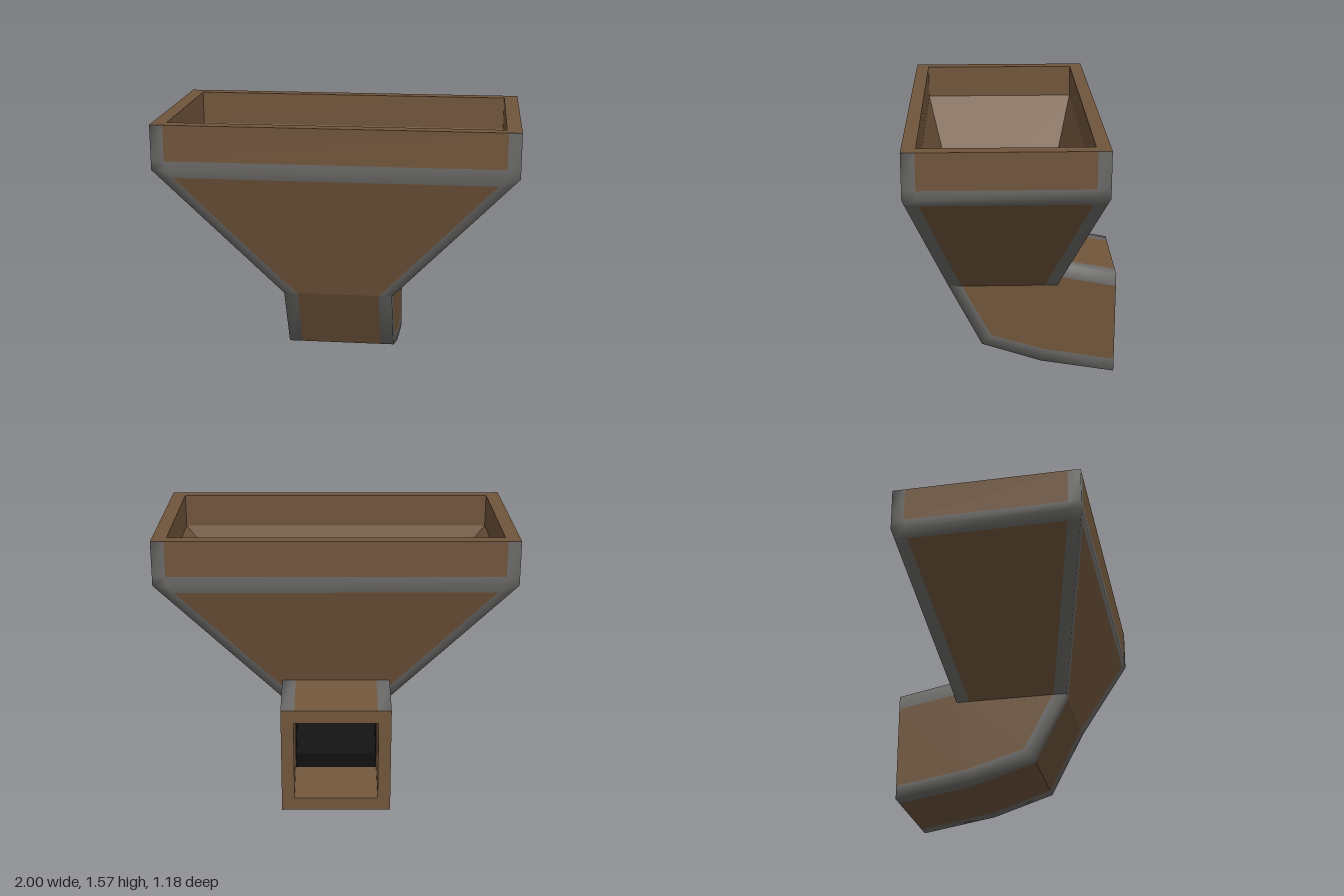
import * as THREE from 'three';

const wood = new THREE.MeshStandardMaterial({ color: 0x70553b });
wood.name = 'brown wood';
const metal = new THREE.MeshStandardMaterial({ color: 0x6b6a68 });
metal.name = 'grey metal trim';
const dark = new THREE.MeshStandardMaterial({ color: 0x0d0d0d, side: THREE.DoubleSide });
dark.name = 'black passage';

const V = (x, y, z) => new THREE.Vector3(x, y, z);

// horizontal rectangle used by the hopper
const level = (y, x, front, back) => [V(-x, y, front), V(x, y, front), V(x, y, back), V(-x, y, back)];

// rectangle spanned between a lower and an upper [z, y] point, used by the chute
const slice = (x, [bz, by], [tz, ty]) => [V(x, by, bz), V(-x, by, bz), V(-x, ty, tz), V(x, ty, tz)];

function makeMesh(name, points, index, material, smooth) {
  let geo = new THREE.BufferGeometry().setFromPoints(points);
  geo.setIndex(index);
  if (!smooth) geo = geo.toNonIndexed();
  geo.computeVertexNormals();
  const mesh = new THREE.Mesh(geo, material);
  mesh.name = name;
  return mesh;
}

// Skin over four-cornered rings with flat faces
function skin(name, rings, material) {
  const index = [];
  for (let r = 0; r + 1 < rings.length; r++) {
    for (let i = 0; i < 4; i++) {
      const j = (i + 1) % 4, a = r * 4 + i, b = r * 4 + j;
      index.push(a, b, b + 4, a, b + 4, a + 4);
    }
  }
  return makeMesh(name, rings.flat(), index, material, false);
}

// Skin whose corners, and chosen rows, are covered by smooth metal trim
function trimmedSkin(name, rings, width, trimRows = []) {
  const points = [], panels = [], trim = [];
  for (const ring of rings) {
    ring.forEach((p, i) => {
      const q = ring[(i + 1) % 4];
      const step = q.clone().sub(p).setLength(width);
      points.push(p.clone(), p.clone().add(step), q.clone().sub(step));
    });
  }
  for (let r = 0; r + 1 < rings.length; r++) {
    for (let i = 0; i < 12; i++) {
      const a = r * 12 + i, b = r * 12 + (i + 1) % 12;
      const target = i % 3 !== 1 || trimRows.includes(r) ? trim : panels;
      target.push(a, b, b + 12, a, b + 12, a + 12);
    }
  }
  const group = new THREE.Group();
  group.name = name;
  group.add(
    makeMesh(name + 'Panels', points, panels, wood, false),
    makeMesh(name + 'Trim', points, trim, metal, true)
  );
  return group;
}

export function createModel() {
  const model = new THREE.Group();
  model.name = 'hopper';

  // tapered hopper with upright rim, and trim around the bend
  model.add(trimmedSkin('funnel', [
    level(0.56, 0.31, 0.38, -0.25),
    level(1.275, 0.959, 0.578, -0.457),
    level(1.32, 1, 0.59, -0.47),
    level(1.37, 1, 0.59, -0.47),
    level(1.57, 1, 0.59, -0.47),
  ], 0.072, [1, 2]));

  // rim top and inner walls
  model.add(skin('funnelLining', [
    level(1.57, 1, 0.59, -0.47),
    level(1.57, 0.92, 0.515, -0.395),
    level(1.38, 0.92, 0.515, -0.395),
    level(0.75, 0.375, 0.33, -0.21),
  ], wood));

  // bent chute leading to the back
  model.add(trimmedSkin('chute', [
    slice(0.31, [0.38, 0.56], [-0.2, 0.56]),
    slice(0.31, [0.19, 0.19], [-0.24, 0.62]),
    slice(0.31, [-0.16, 0.075], [-0.28, 0.685]),
    slice(0.31, [-0.59, 0.003], [-0.59, 0.625]),
  ], 0.077));

  // outlet frame and inner walls
  model.add(skin('outletLining', [
    slice(0.31, [-0.59, 0.003], [-0.59, 0.625]),
    slice(0.238, [-0.59, 0.08], [-0.59, 0.55]),
    slice(0.238, [-0.3, 0.13], [-0.3, 0.6]),
  ], wood));

  // dark passage joining the throat to the outlet
  const inner = (x, b, t) => {
    const [p, q, r, s] = slice(x, b, t);
    return [q, p, s, r];
  };
  model.add(skin('passage', [
    level(0.75, 0.375, 0.33, -0.21),
    level(0.56, 0.24, 0.3, -0.18),
    inner(0.238, [0.13, 0.25], [-0.2, 0.52]),
    inner(0.238, [-0.15, 0.145], [-0.25, 0.56]),
    inner(0.238, [-0.3, 0.13], [-0.3, 0.6]),
  ], dark));

  return model;
}
